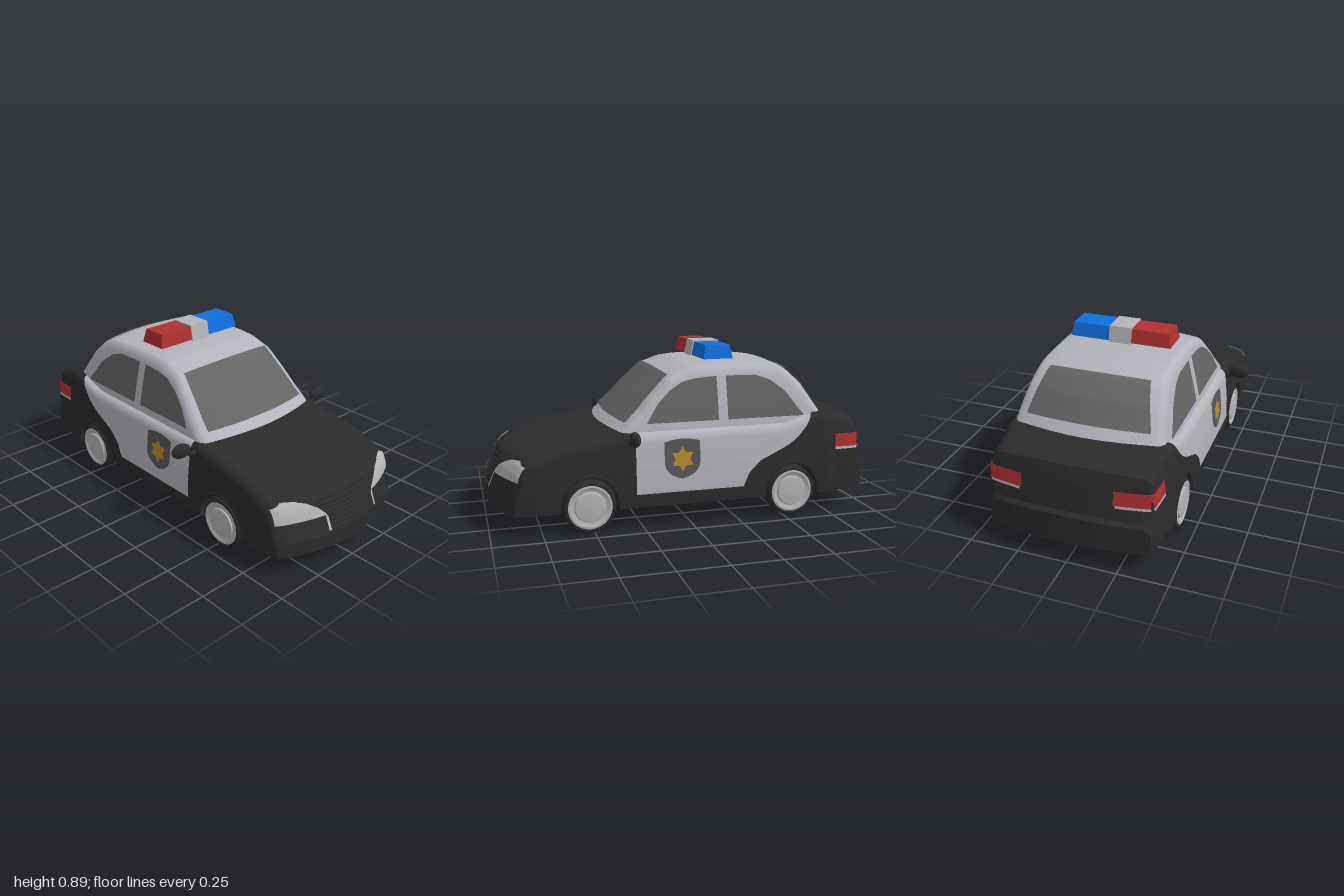
import * as THREE from 'three';
import { toCreasedNormals } from 'three/addons/utils/BufferGeometryUtils.js';

const mat = (name, color) => new THREE.MeshStandardMaterial({ name, color, side: THREE.DoubleSide });
const clamp = (v) => Math.min(1, Math.max(0, v));
const lerp = THREE.MathUtils.lerp;

// Linear lookup in a list of [key, value] pairs with ascending keys
function look(table, k) {
  if (k <= table[0][0]) return table[0][1];
  for (let i = 1; i < table.length; i++) {
    const [a, va] = table[i - 1], [b, vb] = table[i];
    if (k <= b) return lerp(va, vb, (k - a) / (b - a));
  }
  return table[table.length - 1][1];
}

// Surface from a rectangular net of points
function grid(nu, nv, point, flip = false) {
  const pos = [], idx = [];
  for (let i = 0; i <= nu; i++) for (let j = 0; j <= nv; j++) pos.push(...point(i, j));
  for (let i = 0; i < nu; i++) for (let j = 0; j < nv; j++) {
    const a = i * (nv + 1) + j, b = a + 1, c = a + nv + 1, d = c + 1;
    idx.push(...(flip ? [a, b, c, b, d, c] : [a, c, b, b, c, d]));
  }
  const g = new THREE.BufferGeometry();
  g.setAttribute('position', new THREE.Float32BufferAttribute(pos, 3));
  g.setIndex(idx);
  g.computeVertexNormals();
  return g;
}

// A car shell: centre height and half width tables, rounded shoulders, bowed ends
function makeShell({ height, width, plan, round, crown, front, rear }) {
  const H = (z) => look(height, z) - crown;
  const X = (z, y) => {
    const d = clamp((y - H(z) + 0.05) / 0.05);
    return look(width, y) * look(plan, z) - round * (1 - Math.sqrt(1 - d * d));
  };
  const bend = (x, y, z) => {
    const q = (x / 0.43) ** 2;
    return [x, y, z - front[1] * clamp((z - front[0]) / front[2]) * q + rear[1] * clamp((rear[0] - z) / rear[2]) * q];
  };
  const top = (z, f) => bend(f * X(z, H(z)), H(z) + crown * (1 - f * f), z);
  const side = (z, y, s) => { const p = bend(X(z, y), y, z); return [s * p[0], y, p[2]]; };
  // Point on the nose (dir 1) or tail (dir -1) at a given x and y
  const end = (x, y, dir) => {
    const ax = Math.abs(x);
    let out = dir, inn = dir * 0.7;
    for (let i = 0; i < 28; i++) {
      const z = (out + inn) / 2, h = H(z), w = X(z, h);
      const inside = y <= h ? ax <= X(z, y) : ax <= w && y <= h + crown * (1 - (ax / w) ** 2);
      if (inside) inn = z; else out = z;
    }
    return bend(x, y, inn);
  };
  // stations: [z, lower edge of the side, width factor for the end caps]
  const build = (stations, floor) => {
    const rings = stations.map(([z, yb, k]) => {
      const h = H(z), half = [[0, floor], [0.32, floor], [0.32, yb]];
      for (let i = 0; i <= 6; i++) { const y = lerp(yb, h - 0.05, i / 6); half.push([X(z, y), y]); }
      for (const d of [0.3, 0.55, 0.75, 0.9, 0.97, 1]) half.push([X(z, h - 0.05 + 0.05 * d), h - 0.05 + 0.05 * d]);
      const w = X(z, h);
      for (const f of [0.75, 0.5, 0.25, 0]) half.push([f * w, h + crown * (1 - f * f)]);
      const mirror = half.slice(0, -1).reverse().map(([x, y]) => [-x, y]);
      return [...half, ...mirror].map(([x, y]) => bend(x * k, y, z));
    });
    return toCreasedNormals(grid(rings.length - 1, rings[0].length - 1, (i, j) => rings[i][j], true), 0.7);
  };
  return { H, X, top, side, end, build };
}

export function createModel() {
  const car = new THREE.Group();
  car.name = 'patrolCar';
  const black = mat('bodyBlack', 0x2b2b2b), white = mat('paleGrey', 0xb3b3bb), glass = mat('glassGrey', 0x646464);
  const silver = mat('silver', 0xb4b4b6), red = mat('red', 0xb03030), blue = mat('blue', 0x0f6fe0);
  const gold = mat('gold', 0xb98a30), shieldGrey = mat('shieldGrey', 0x565656);
  const add = (name, geo, m, parent = car) => {
    const mesh = new THREE.Mesh(geo, m);
    mesh.name = name;
    parent.add(mesh);
    return mesh;
  };

  const body = makeShell({
    height: [[-1, 0.26], [-0.98, 0.275], [-0.97, 0.34], [-0.955, 0.46], [-0.94, 0.495], [-0.9, 0.512], [-0.75, 0.545], [-0.67, 0.552],
      [-0.6, 0.53], [-0.5, 0.505], [0.3, 0.5], [0.4, 0.49], [0.6, 0.457], [0.8, 0.412], [0.88, 0.388], [0.92, 0.368], [0.95, 0.325], [0.97, 0.265], [1, 0.195]],
    width: [[0.11, 0.432], [0.19, 0.435], [0.3, 0.432], [0.4, 0.422], [0.5, 0.41]],
    plan: [[-1, 0.92], [-0.95, 0.945], [-0.8, 0.96], [-0.74, 1], [0.85, 1], [1, 0.965]],
    round: 0.05, crown: 0.015, front: [0.68, 0.12, 0.3], rear: [-0.75, 0.055, 0.25],
  });
  const cabin = makeShell({
    height: [[-0.8, 0.5], [-0.74, 0.58], [-0.66, 0.69], [-0.58, 0.755], [-0.5, 0.788], [-0.4, 0.797], [-0.25, 0.8], [-0.1, 0.798],
      [-0.02, 0.79], [0.11, 0.75], [0.25, 0.635], [0.4, 0.498], [0.44, 0.465]],
    width: [[0.4, 0.4], [0.5, 0.385], [0.6, 0.365], [0.7, 0.342], [0.8, 0.318]],
    plan: [[0, 1]], round: 0.032, crown: 0.012, front: [0, 0.08, 0.3], rear: [-0.35, 0.075, 0.3],
  });

  // Body stations, with the side lifted over each wheel
  const wheelZ = [0.52, -0.54], archR = 0.145, caps = [0, 0.25, 0.5, 0.75];
  const stations = [];
  for (let i = 0; i <= 100; i++) {
    const z = -1 + i * 0.02;
    if (wheelZ.every((c) => Math.abs(z - c) > archR)) stations.push([z, 0.11, 1]);
  }
  for (const c of wheelZ) {
    stations.push([c - archR - 1e-4, 0.11, 1], [c + archR + 1e-4, 0.11, 1]);
    for (let i = 0; i <= 20; i++) {
      const a = Math.PI * i / 20;
      stations.push([c - archR * Math.cos(a), 0.13 + archR * Math.sin(a), 1]);
    }
  }
  stations.sort((a, b) => a[0] - b[0]);
  const capped = (list, yb) => [...caps.map((k) => [list[0][0], yb, k]), ...list,
    ...[...caps].reverse().map((k) => [list[list.length - 1][0], yb, k])];
  add('body', body.build(capped(stations, 0.11), 0.11), black);

  const cabinStations = [];
  for (let i = 0; i <= 62; i++) cabinStations.push([-0.8 + i * 0.02, 0.4, 1]);
  add('cabin', cabin.build(capped(cabinStations, 0.4), 0.4), white);

  // Front and rear glass
  const screen = (name, z0, z1, f0, f1) => add(name, grid(16, 16, (i, j) => {
    const [x, y, z] = cabin.top(lerp(z0, z1, i / 16), lerp(-1, 1, j / 16) * lerp(f0, f1, i / 16));
    return [x, y + 0.005, z + (z > -0.2 ? 0.004 : -0.004)];
  }), glass);
  screen('windscreen', 0.1, 0.368, 0.96, 0.95);
  screen('rearWindow', -0.735, -0.545, 0.92, 0.86);

  const frontWindow = [[-0.15, 0.737], [-0.04, 0.73], [0.04, 0.715], [0.12, 0.675], [0.2, 0.615], [0.28, 0.525]];
  const backWindow = [[-0.67, 0.53], [-0.55, 0.65], [-0.45, 0.71], [-0.36, 0.735], [-0.2, 0.737]];
  const doorRear = [[0.178, -0.27], [0.25, -0.3], [0.31, -0.36], [0.36, -0.47], [0.4, -0.56], [0.45, -0.62], [0.5, -0.66]];
  const lampTop = [[0.17, 0.285], [0.2, 0.315], [0.25, 0.345], [0.3, 0.362], [0.36, 0.367], [0.412, 0.345]];

  // Rounded shield and six-pointed star outlines
  const shield = new THREE.Shape();
  shield.moveTo(0, 0.1);
  shield.quadraticCurveTo(0.05, 0.1, 0.092, 0.085);
  shield.lineTo(0.092, -0.02);
  shield.quadraticCurveTo(0.085, -0.08, 0, -0.1);
  shield.quadraticCurveTo(-0.085, -0.08, -0.092, -0.02);
  shield.lineTo(-0.092, 0.085);
  shield.quadraticCurveTo(-0.05, 0.1, 0, 0.1);
  const star = new THREE.Shape(Array.from({ length: 12 }, (_, i) => {
    const r = i % 2 ? 0.038 : 0.062, a = Math.PI * i / 6 + Math.PI / 2;
    return new THREE.Vector2(r * Math.cos(a), r * Math.sin(a));
  }));

  // Tyre and rim turned about the axle
  const lathe = (pts) => toCreasedNormals(new THREE.LatheGeometry(pts.map((p) => new THREE.Vector2(...p)), 40).rotateZ(-Math.PI / 2), 0.6);
  const tyre = lathe([[0, -0.042], [0.115, -0.042], [0.13, -0.03], [0.13, 0.03], [0.122, 0.041], [0.108, 0.042], [0.105, 0.02]]);
  const rim = lathe([[0.11, 0.02], [0.11, 0.042], [0.1, 0.044], [0.082, 0.034], [0.078, 0.034], [0.074, 0.042], [0.04, 0.046], [0, 0.047]]);

  for (const s of [1, -1]) {
    const label = s > 0 ? 'left' : 'right';
    // White door panel with a sweeping rear edge
    add(label + 'DoorPanel', grid(40, 24, (i, j) => {
      const v = j / 24, z = lerp(look(doorRear, lerp(0.178, 0.5, v)), 0.29, i / 40);
      const [x, y, zz] = body.side(z, lerp(0.178, body.H(z), v), s);
      return [x + s * 0.004, y + 0.003 * v, zz];
    }, s > 0), white);
    // Side glass
    for (const [name, t] of [['FrontWindow', frontWindow], ['BackWindow', backWindow]]) {
      add(label + name, grid(24, 12, (i, j) => {
        const z = lerp(t[0][0], t[t.length - 1][0], i / 24);
        const [x, y, zz] = cabin.side(z, lerp(0.52, look(t, z), j / 12), s);
        return [x + s * 0.005, y, zz];
      }, s > 0), glass);
    }
    // Door badge
    for (const [name, shape, m, lift] of [['DoorShield', shield, shieldGrey, 0.008], ['DoorStar', star, gold, 0.011]]) {
      const g = new THREE.ShapeGeometry(shape, 8).rotateY(s * Math.PI / 2).translate(0, 0.345, 0.055), p = g.attributes.position;
      for (let i = 0; i < p.count; i++) p.setX(i, s * (body.X(p.getZ(i), p.getY(i)) + lift));
      g.computeVertexNormals();
      add(label + name, g, m);
    }
    // Lamps laid on the nose and tail
    const lamp = (name, m, dir, x0, x1, low, high) => add(label + name, grid(24, 8, (i, j) => {
      const ax = lerp(x0, x1, i / 24);
      const [x, y, z] = body.end(s * ax, lerp(low, high(ax), j / 8), dir);
      return [x + s * 0.003, y + (dir > 0 ? 0.004 : 0), z + dir * 0.007];
    }, s * dir < 0), m);
    lamp('Headlight', silver, 1, 0.168, 0.412, 0.272, (x) => look(lampTop, x));
    lamp('GrilleEdge', silver, 1, 0.155, 0.168, 0.2, (x) => lerp(0.26, 0.285, (x - 0.155) / 0.013));
    lamp('TailLight', red, -1, 0.22, 0.388, 0.345, () => 0.415);
    lamp('TailLightTrim', silver, -1, 0.23, 0.388, 0.332, () => 0.345);
    // Tail lamp wrapping on to the flank
    for (const [name, m, y0, y1] of [['TailLightSide', red, 0.345, 0.415], ['TailLightSideTrim', silver, 0.332, 0.345]]) {
      add(label + name, grid(10, 6, (i, j) => {
        const [x, y, z] = body.side(lerp(-0.968, -0.8, i / 10), lerp(y0, y1, j / 6), s);
        return [x + s * 0.004, y, z - 0.004 * (1 - i / 10)];
      }, s > 0), m);
    }
    // Wing mirror
    add(label + 'Mirror', new THREE.SphereGeometry(1, 24, 16).scale(0.056, 0.037, 0.026).rotateZ(s * 0.08).translate(s * 0.495, 0.47, 0.31), black);
    const arm = new THREE.CatmullRomCurve3([[0.395, 0.44], [0.43, 0.435], [0.47, 0.46]].map(([x, y]) => new THREE.Vector3(s * x, y, 0.315)));
    add(label + 'MirrorArm', new THREE.TubeGeometry(arm, 8, 0.014, 10), black);
    // Wheels and arch lips
    for (const z of wheelZ) {
      const wheel = new THREE.Group();
      wheel.name = label + (z > 0 ? 'FrontWheel' : 'RearWheel');
      wheel.position.set(s * 0.387, 0.13, z);
      if (s < 0) wheel.rotation.y = Math.PI;
      add('tyre', tyre, black, wheel);
      add('rim', rim, silver, wheel);
      car.add(wheel);
      add(label + 'ArchLip', new THREE.TorusGeometry(0.155, 0.014, 8, 32, Math.PI).rotateY(Math.PI / 2).translate(s * 0.422, 0.13, z), black);
    }
  }

  // Grille bars
  for (let i = 0; i < 8; i++) {
    const y = 0.205 + i * 0.02, w = lerp(0.145, 0.2, (i / 7) ** 2), pts = [];
    for (let k = -4; k <= 4; k++) pts.push(new THREE.Vector3(...body.end(w * k / 4, y, 1)));
    add('grilleBar', new THREE.TubeGeometry(new THREE.CatmullRomCurve3(pts), 16, 0.006, 6), black);
  }
  // Rear number panel, left blank
  add('rearPanel', grid(8, 4, (i, j) => {
    const [x, y, z] = body.end(lerp(-0.13, 0.13, i / 8), lerp(0.35, 0.42, j / 4), -1);
    return [x, y, z - 0.006];
  }, true), black);

  // Roof light bar: boxes narrowed towards the top
  const lightBox = (name, m, x0, x1, y0, y1, depth, slopeEnd) => {
    const g = new THREE.BoxGeometry(x1 - x0, y1 - y0, depth).translate((x0 + x1) / 2, (y0 + y1) / 2, 0), p = g.attributes.position;
    for (let i = 0; i < p.count; i++) if (p.getY(i) > (y0 + y1) / 2) {
      p.setZ(i, p.getZ(i) * 0.82);
      if (slopeEnd && Math.abs(p.getX(i)) > 0.2) p.setX(i, p.getX(i) * 0.95);
    }
    g.computeVertexNormals();
    add(name, g, m).position.z = -0.185;
  };
  lightBox('redLight', red, -0.263, -0.05, 0.813, 0.883, 0.158, true);
  lightBox('blueLight', blue, 0.05, 0.263, 0.813, 0.883, 0.158, true);
  lightBox('lightBarCentre', silver, -0.058, 0.058, 0.808, 0.889, 0.17, false);
  lightBox('lightBarFoot', silver, -0.04, 0.04, 0.785, 0.81, 0.1, false);
  return car;
}
